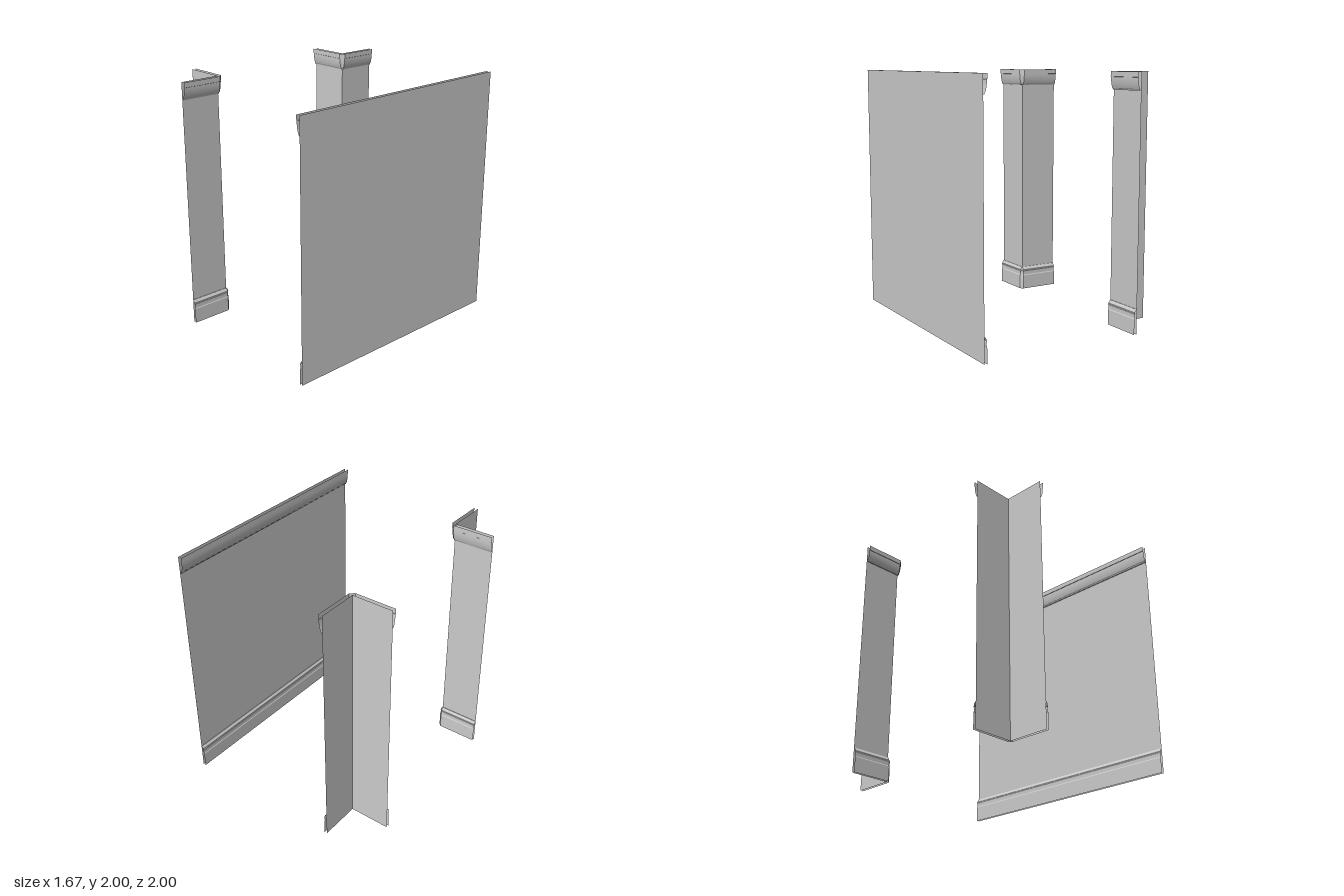
import * as THREE from 'three';
import { toCreasedNormals } from 'three/addons/utils/BufferGeometryUtils.js';

const material = new THREE.MeshStandardMaterial({ color: 0xcccccc, side: THREE.DoubleSide });

// Profiles as [distance out from the wall, height], bottom to top
const wallProfile = [[0, 0], [0, 2]];
const baseProfile = [
  [0.022, 0], [0.022, 0.122], [0.018, 0.13], [0.018, 0.158], [0.021, 0.163], [0.021, 0.168],
  [0.016, 0.173], [0.016, 0.18], [0.012, 0.188], [0.007, 0.193], [0.004, 0.2], [0, 0.2],
];
const crownProfile = [
  [0, 1.86], [0.008, 1.86], [0.01, 1.868], [0.015, 1.873], [0.018, 1.882], [0.023, 1.9],
  [0.027, 1.925], [0.029, 1.95], [0.029, 1.958], [0.032, 1.96], [0.032, 2],
];

// Plan runs as [x, z, outward x, outward z]; a repeated point bevels the corner
const runs = {
  sideWall: [[0.835, 1, -1, 0], [0.835, -1, -1, 0]],
  frontCorner: [[-0.835, 0.667, 0, -1], [-0.5, 0.667, 0, -1], [-0.5, 0.667, 1, 0], [-0.5, 1, 1, 0]],
  backCorner: [[-0.5, -1, 1, 0], [-0.5, -0.667, 1, 0], [-0.5, -0.667, 0, 1], [-0.835, -0.667, 0, 1]],
};

// Sweep a profile along a run as an open sheet
function sweep(name, run, profile) {
  const positions = [];
  const point = ([x, z, nx, nz], [out, y]) => [x + nx * out, y, z + nz * out];
  for (let i = 0; i < run.length - 1; i++) {
    for (let j = 0; j < profile.length - 1; j++) {
      const a = point(run[i], profile[j]);
      const b = point(run[i], profile[j + 1]);
      const c = point(run[i + 1], profile[j + 1]);
      const d = point(run[i + 1], profile[j]);
      const same = (p, q) => p.every((v, k) => Math.abs(v - q[k]) < 1e-6);
      if (!same(b, c)) positions.push(...a, ...b, ...c);
      if (!same(a, d)) positions.push(...a, ...c, ...d);
    }
  }
  const geometry = new THREE.BufferGeometry();
  geometry.setAttribute('position', new THREE.Float32BufferAttribute(positions, 3));
  const mesh = new THREE.Mesh(toCreasedNormals(geometry, 0.4), material);
  mesh.name = name;
  return mesh;
}

export function createModel() {
  const model = new THREE.Group();
  model.name = 'corridorWalls';
  for (const [name, run] of Object.entries(runs)) {
    const group = new THREE.Group();
    group.name = name;
    group.add(
      sweep('wallPanel', run, wallProfile),
      sweep('baseboard', run, baseProfile),
      sweep('crownMoulding', run, crownProfile),
    );
    model.add(group);
  }
  return model;
}
